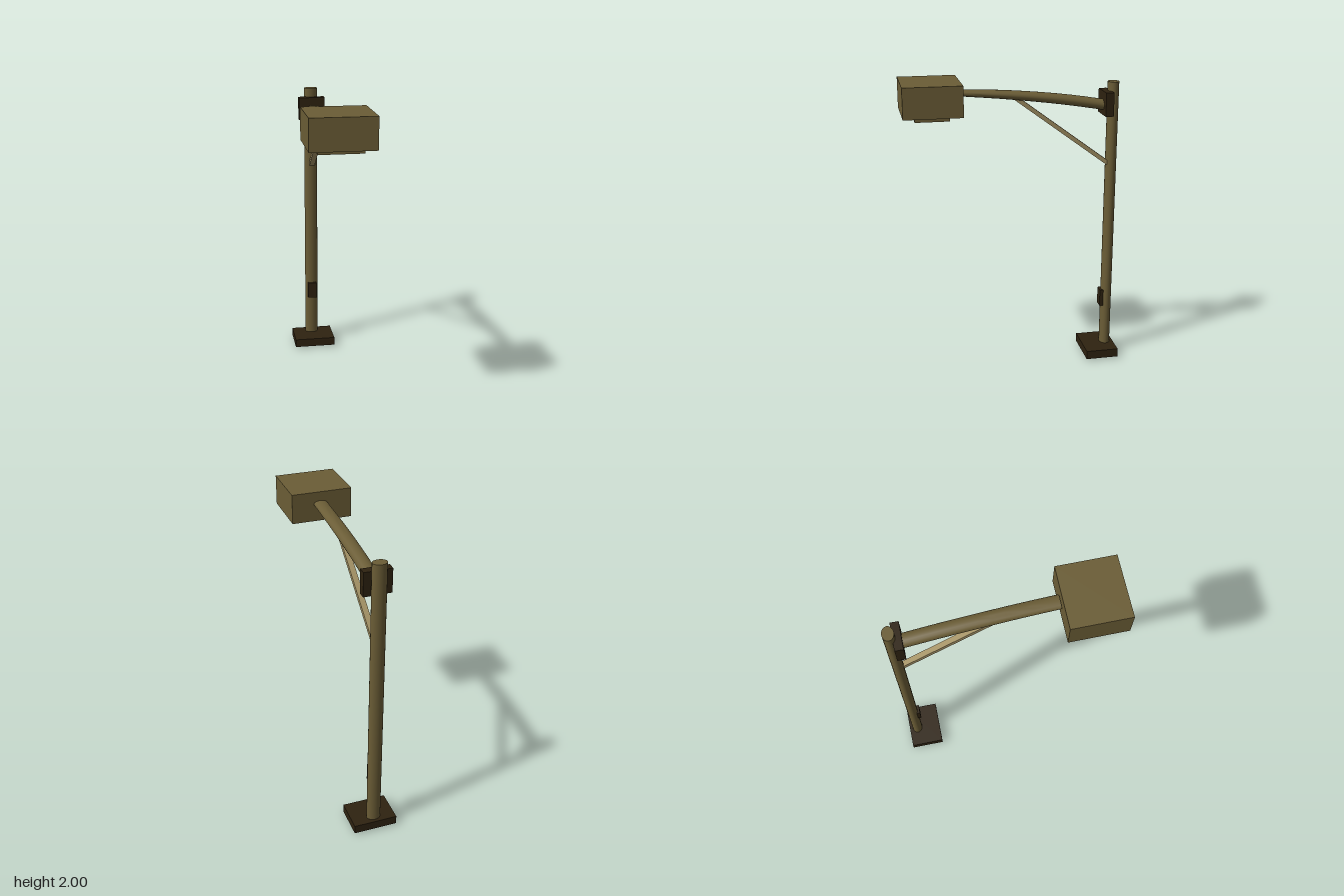
import * as THREE from 'three';
import { toCreasedNormals } from 'three/addons/utils/BufferGeometryUtils.js';

const material = (name, color) => new THREE.MeshStandardMaterial({ name, color });

export function createModel() {
  const group = new THREE.Group();
  const olive = material('olive metal', 0x6b5d36);
  const dark = material('dark brown metal', 0x2e2210);
  const tan = material('tan metal', 0xa39164);

  const add = (name, geometry, mat) => {
    const mesh = new THREE.Mesh(geometry, mat);
    mesh.name = name;
    group.add(mesh);
    return mesh;
  };
  // Box given by its lowest and highest corner
  const box = (name, mat, [x0, y0, z0], [x1, y1, z1]) => {
    const mesh = add(name, new THREE.BoxGeometry(x1 - x0, y1 - y0, z1 - z0), mat);
    mesh.position.set((x0 + x1) / 2, (y0 + y1) / 2, (z0 + z1) / 2);
    return mesh;
  };

  // Base plate, access hatch and arm bracket
  box('basePlate', dark, [-0.145, 0.01, -0.73], [0.152, 0.07, -0.503]);
  box('accessHatch', dark, [-0.031, 0.363, -0.645], [0.031, 0.482, -0.62]);
  box('armBracket', dark, [-0.092, 1.742, -0.654], [0.09, 1.9, -0.6]);

  // Lamp head with its lens below
  box('lampHead', olive, [-0.204, 1.8, 0.351], [0.204, 2, 0.73]);
  box('lampLens', olive, [-0.141, 1.768, 0.432], [0.141, 1.801, 0.652]);

  // Slightly flattened pole
  const pole = add('pole', new THREE.CylinderGeometry(1, 1, 1.96, 20), olive);
  pole.scale.set(0.047, 1, 0.037);
  pole.position.set(-0.001, 0.98, -0.672);

  // Curved arm: a cylinder along z bent along a path and thinned towards the lamp
  const path = new THREE.CatmullRomCurve3([
    [0.002, 1.8, -0.654], [0.004, 1.845, -0.39], [0.006, 1.877, -0.15],
    [0.009, 1.903, 0.1], [0.011, 1.921, 0.346],
  ].map((p) => new THREE.Vector3(...p)));
  const armGeometry = new THREE.CylinderGeometry(1, 1, 1, 18, 12).rotateX(Math.PI / 2);
  const pos = armGeometry.attributes.position;
  for (let i = 0; i < pos.count; i++) {
    const t = THREE.MathUtils.clamp(pos.getZ(i) + 0.5, 0, 1);
    const c = path.getPoint(t);
    const height = 0.036 - 0.015 * t * t;
    pos.setXYZ(i, c.x + pos.getX(i) * 0.047, c.y + pos.getY(i) * height, c.z);
  }
  add('arm', toCreasedNormals(armGeometry, 0.8), olive);

  // Diagonal brace from the pole to the arm
  const from = new THREE.Vector3(0.004, 1.41, -0.645);
  const to = new THREE.Vector3(0.004, 1.87, -0.02);
  const brace = add('brace', new THREE.BoxGeometry(0.038, 0.028, from.distanceTo(to)), tan);
  brace.position.copy(from).lerp(to, 0.5);
  brace.rotation.x = -Math.atan2(to.y - from.y, to.z - from.z);

  return group;
}
